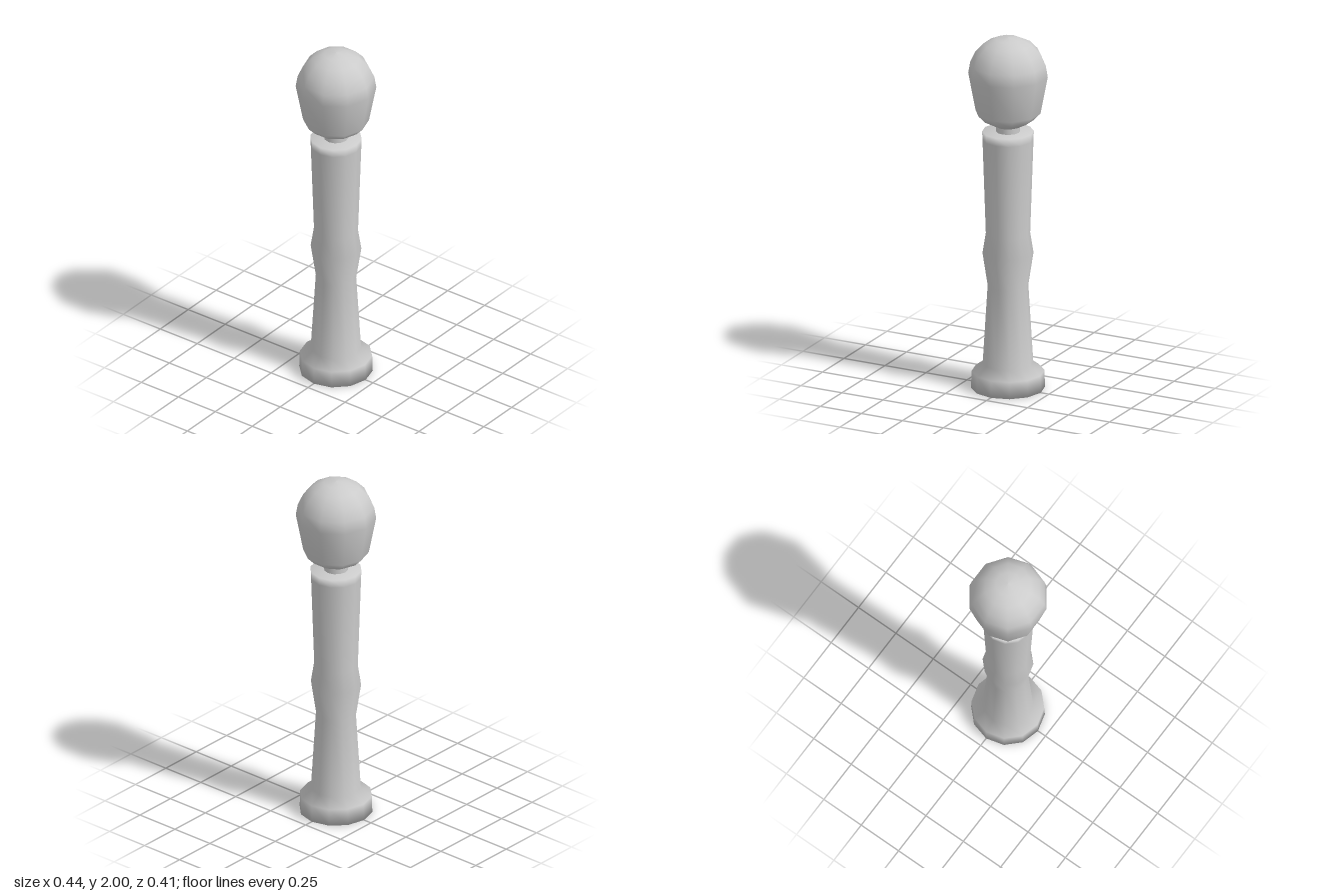
import * as THREE from 'three';

const material = new THREE.MeshStandardMaterial({ color: 0xcccccc });

// Turned part: profile of [radius, height] from bottom to top, with a corner on +x
function turned(name, profile, sides) {
  const points = profile.map(([r, y]) => new THREE.Vector2(r, y));
  const mesh = new THREE.Mesh(new THREE.LatheGeometry(points, sides, Math.PI / 2), material);
  mesh.name = name;
  return mesh;
}

export function createModel() {
  const model = new THREE.Group();
  model.name = 'turnedPost';

  // Flared foot and waisted shaft, closed at both ends
  model.add(turned('shaftAndFoot', [
    [0, 0], [0.2, 0], [0.197, 0.095], [0.137, 0.14],
    [0.11, 0.585], [0.138, 0.77], [0.12, 0.885],
    [0.138, 1.42], [0.14, 1.465], [0, 1.465],
  ], 12));

  // Short neck between shaft and head
  model.add(turned('neck', [[0.066, 1.45], [0.066, 1.53]], 12));

  // Egg-shaped head with a tapered underside
  model.add(turned('head', [
    [0, 1.497], [0.07, 1.497], [0.137, 1.533], [0.178, 1.575],
    [0.218, 1.785], [0.207, 1.85], [0.178, 1.912],
    [0.13, 1.962], [0.068, 1.992], [0, 2],
  ], 10));

  return model;
}
